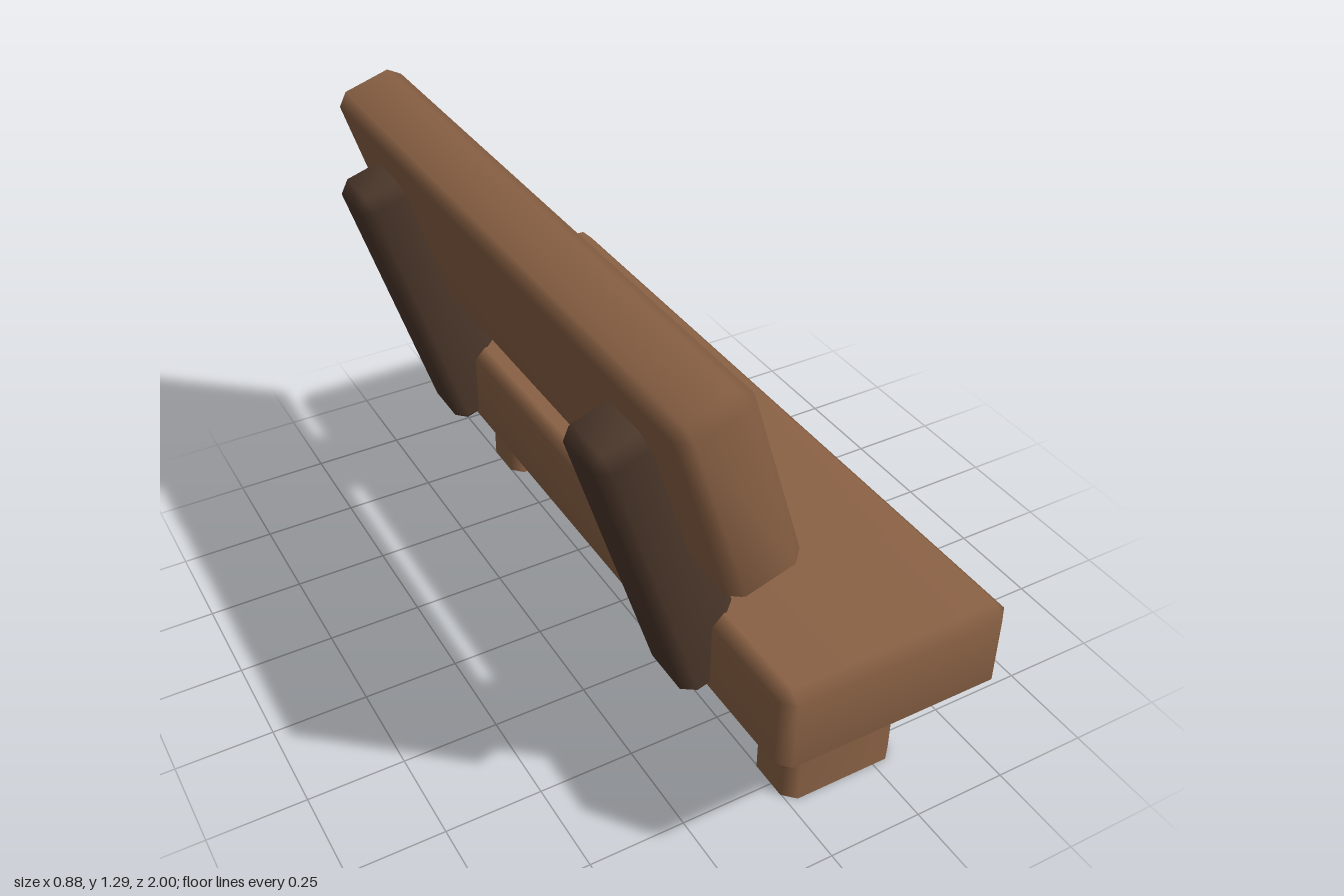
import * as THREE from 'three';
import { ConvexGeometry } from 'three/addons/geometries/ConvexGeometry.js';
import { mergeVertices } from 'three/addons/utils/BufferGeometryUtils.js';

const BEVEL = 0.03;
const TILT = 0.304;

// Share vertices so that shading blends softly over the bevels
function smooth(geometry) {
  geometry.deleteAttribute('normal');
  geometry.deleteAttribute('uv');
  const merged = mergeVertices(geometry, 1e-4);
  merged.computeVertexNormals();
  return merged;
}

// Box with every edge and corner cut by one bevel
function bevelledBox(w, h, d, c = BEVEL) {
  const points = [];
  for (const x of [-w / 2, w / 2]) for (const y of [-h / 2, h / 2]) for (const z of [-d / 2, d / 2]) {
    const ix = x - Math.sign(x) * c, iy = y - Math.sign(y) * c, iz = z - Math.sign(z) * c;
    points.push(
      new THREE.Vector3(x, iy, iz),
      new THREE.Vector3(ix, y, iz),
      new THREE.Vector3(ix, iy, z));
  }
  return smooth(new ConvexGeometry(points));
}

// Open-ended post: an eight-sided tube squared into a bevelled rectangle
function bevelledPost(w, h, d, c = BEVEL) {
  const geometry = new THREE.CylinderGeometry(1, 1, h, 8, 1, true);
  geometry.rotateY(Math.PI / 8);
  const p = geometry.attributes.position;
  for (let i = 0; i < p.count; i++) {
    const x = p.getX(i), z = p.getZ(i), wide = Math.abs(x) > Math.abs(z);
    p.setX(i, Math.sign(x) * (w / 2 - (wide ? 0 : c)));
    p.setZ(i, Math.sign(z) * (d / 2 - (wide ? c : 0)));
  }
  return smooth(geometry);
}

export function createModel() {
  const group = new THREE.Group();
  const wood = new THREE.MeshStandardMaterial({ color: 0x8b6245, side: THREE.DoubleSide });
  const darkWood = new THREE.MeshStandardMaterial({ color: 0x4d382b });

  function add(name, geometry, material, x, y, z, tilt = 0) {
    const mesh = new THREE.Mesh(geometry, material);
    mesh.name = name;
    mesh.position.set(x, y, z);
    mesh.rotation.z = tilt;
    group.add(mesh);
  }

  // Long planks
  add('seat', bevelledBox(0.605, 0.242, 2), wood, 0.137, 0.46, 0);
  add('backrest', bevelledBox(0.185, 0.512, 1.76), wood, -0.209, 1.028, 0, TILT);

  // Paired legs and leaning back supports
  const leg = bevelledPost(0.32, 0.4, 0.165);
  const support = bevelledBox(0.187, 0.787, 0.185);
  for (const [side, s] of [['left', -1], ['right', 1]]) {
    add(side + 'Leg', leg, wood, 0.158, 0.2, s * 0.738);
    add(side + 'BackSupport', support, darkWood, -0.245, 0.741, s * 0.615, TILT);
  }
  return group;
}
